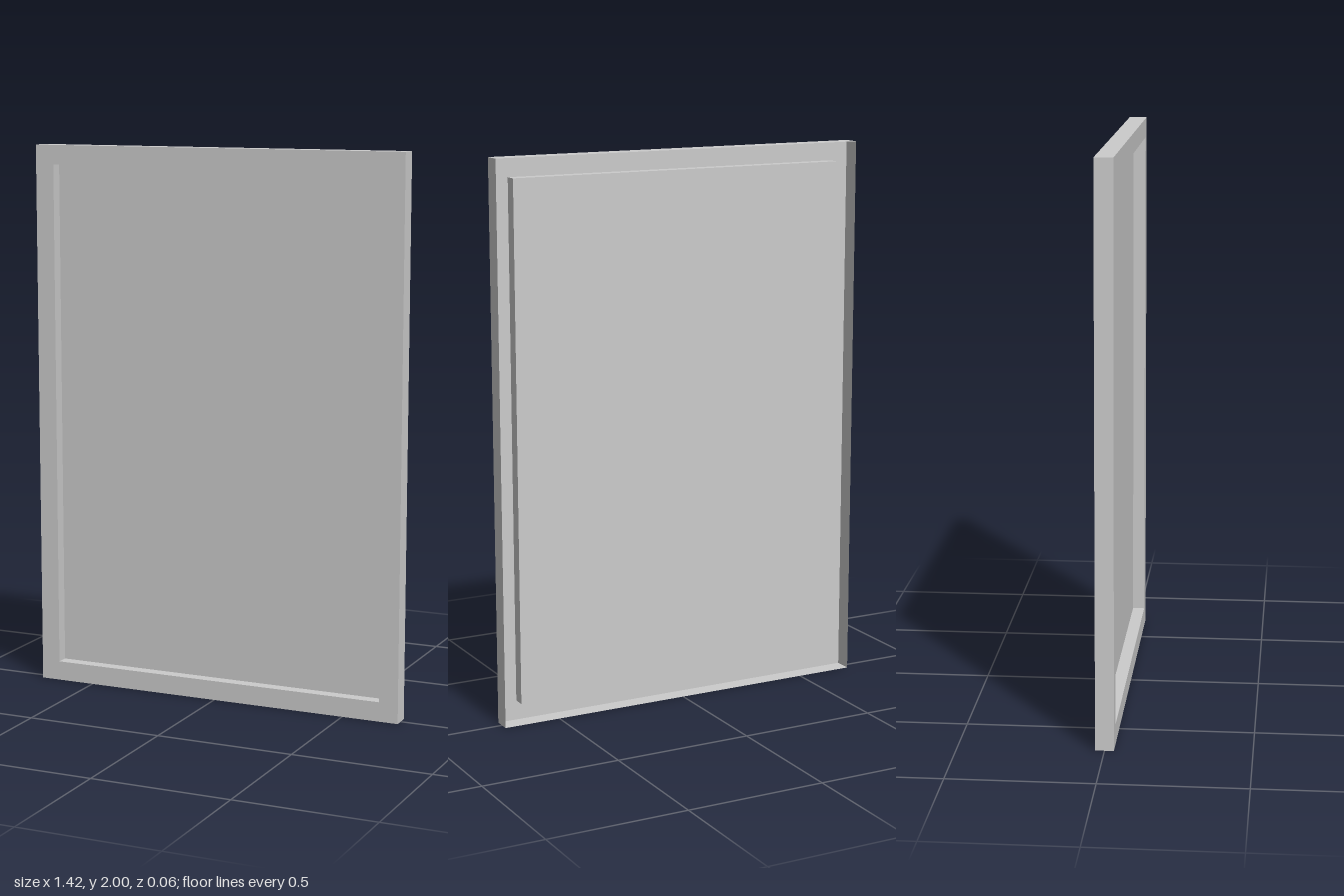
import * as THREE from 'three';

const W = 1.42, H = 2, BORDER = 0.071;
const BACK = -0.032, FRONT = 0.032, RECESS = -0.012;

// Rectangular loop, inset from the outline, at depth z
function loop(inset, z) {
  const x = W / 2 - inset, y0 = inset, y1 = H - inset;
  return [[-x, y0, z], [x, y0, z], [x, y1, z], [-x, y1, z]];
}

// Flat-faced band joining two rectangular loops
function band(a, b) {
  const points = [];
  for (let i = 0; i < 4; i++) {
    const j = (i + 1) % 4;
    points.push(...a[i], ...a[j], ...b[j], ...a[i], ...b[j], ...b[i]);
  }
  const geometry = new THREE.BufferGeometry();
  geometry.setAttribute('position', new THREE.Float32BufferAttribute(points, 3));
  geometry.computeVertexNormals();
  return geometry;
}

export function createModel() {
  const group = new THREE.Group();
  group.name = 'framedPanel';
  const material = new THREE.MeshStandardMaterial({
    color: 0xcccccc, flatShading: true, side: THREE.DoubleSide,
  });
  const add = (name, geometry) => {
    const mesh = new THREE.Mesh(geometry, material);
    mesh.name = name;
    group.add(mesh);
    return mesh;
  };

  const outerBack = loop(0, BACK);
  const outerFront = loop(0, FRONT);
  const innerFront = loop(BORDER, FRONT);
  const innerRecess = loop(BORDER, RECESS);

  // Thin shell, open at the back
  add('outerWalls', band(outerBack, outerFront));
  add('frontBorder', band(outerFront, innerFront));
  add('recessWalls', band(innerFront, innerRecess));

  // Recessed panel closing the frame
  const panel = add('panel', new THREE.PlaneGeometry(W - 2 * BORDER, H - 2 * BORDER));
  panel.position.set(0, H / 2, RECESS);

  return group;
}
